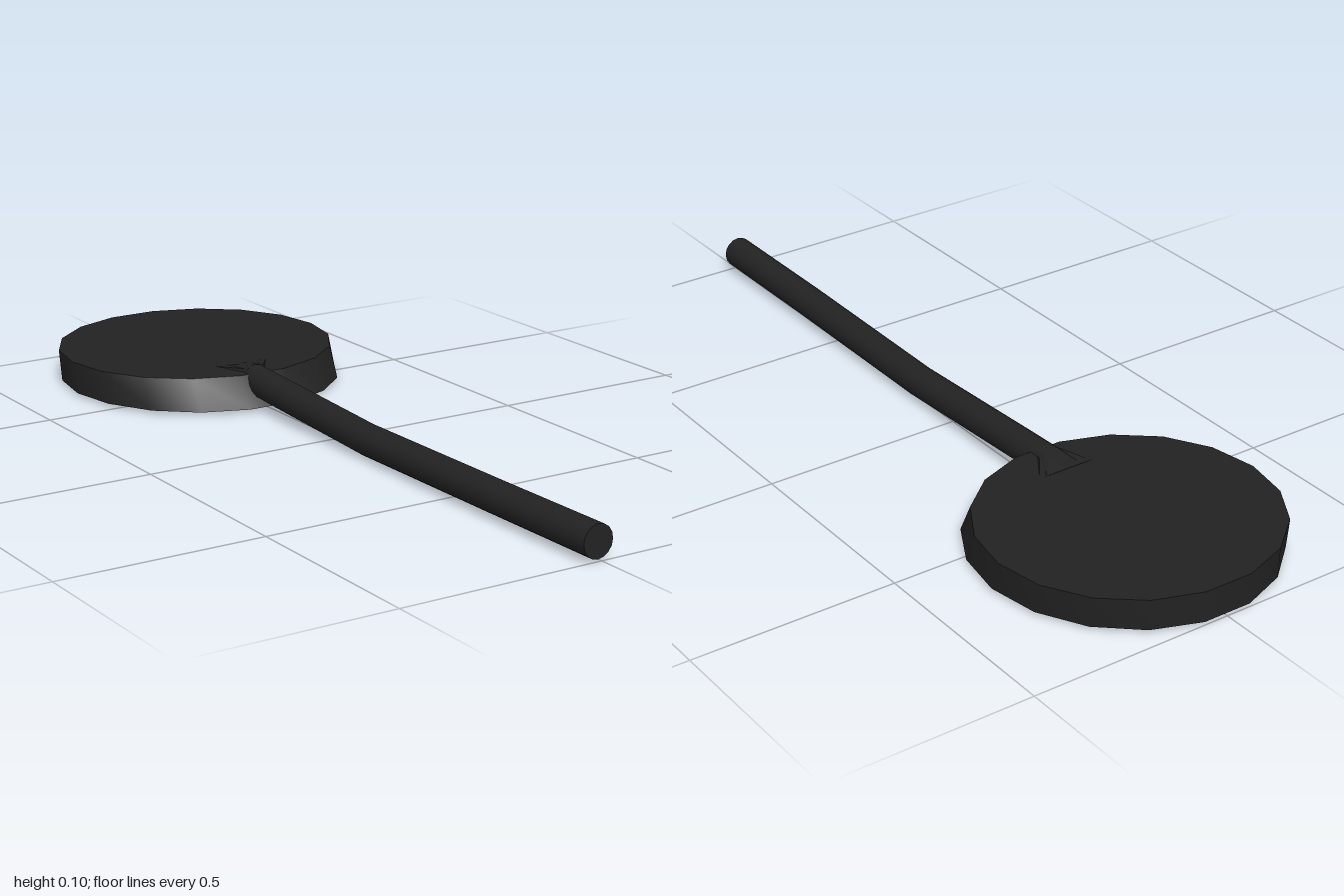
import * as THREE from 'three';
import { mergeVertices, toCreasedNormals } from 'three/addons/utils/BufferGeometryUtils.js';

const SIDES = 16;

// Skins elliptical rings [x, y, z, rx, ry] listed from front to back, with closed ends
function loft(sections) {
  const pos = [], idx = [];
  for (const [x, y, z, rx, ry] of sections) {
    for (let i = 0; i < SIDES; i++) {
      const a = (i / SIDES) * Math.PI * 2;
      pos.push(x + rx * Math.cos(a), y + ry * Math.sin(a), z);
    }
  }
  const last = (sections.length - 1) * SIDES;
  for (let s = 0; s < last; s += SIDES) {
    for (let i = 0; i < SIDES; i++) {
      const j = (i + 1) % SIDES;
      const a = s + i, b = s + j, c = a + SIDES, d = b + SIDES;
      idx.push(a, c, b, b, c, d);
    }
  }
  for (let i = 1; i < SIDES - 1; i++) {
    idx.push(0, i, i + 1, last, last + i + 1, last + i);
  }
  const geo = new THREE.BufferGeometry();
  geo.setAttribute('position', new THREE.Float32BufferAttribute(pos, 3));
  geo.setIndex(idx);
  return toCreasedNormals(geo, 0.6);
}

// Eighteen-sided disc with a stepped hollow underneath and a leaning front wall
function headGeometry() {
  const bottom = 0.008, top = 0.083;
  const profile = [
    [0, 0.06], [0.14, 0.056], [0.17, 0.042], [0.22, 0.038], [0.28, 0.03],
    [0.3, bottom], [0.35, bottom], [0.35, top], [0, top],
  ].map(([r, y]) => new THREE.Vector2(r, y));
  const geo = new THREE.LatheGeometry(profile, 18, Math.PI / 18);
  geo.deleteAttribute('normal');
  geo.deleteAttribute('uv');
  const p = geo.attributes.position;
  for (let i = 0; i < p.count; i++) {
    // the outline is longer at the base than at the top, flush at the back
    const t = (p.getY(i) - bottom) / (top - bottom);
    const centre = THREE.MathUtils.lerp(-0.645, -0.667, t);
    const stretch = THREE.MathUtils.lerp(1.03, 0.967, t);
    p.setZ(i, centre + p.getZ(i) * stretch);
  }
  return toCreasedNormals(mergeVertices(geo), 0.5);
}

export function createModel() {
  const group = new THREE.Group();
  const dark = new THREE.MeshStandardMaterial({ color: 0x222222 });
  const add = (name, geo) => {
    const mesh = new THREE.Mesh(geo, dark);
    mesh.name = name;
    group.add(mesh);
  };

  add('head', headGeometry());

  // Gently bent rod, rising onto the head
  add('handle', loft([
    [-0.01, 0.044, 1, 0.038, 0.039],
    [-0.012, 0.042, 0.65, 0.039, 0.038],
    [-0.01, 0.038, 0.15, 0.038, 0.038],
    [-0.01, 0.057, -0.25, 0.038, 0.038],
    [-0.01, 0.063, -0.36, 0.036, 0.038],
  ]));

  // Rod end flaring out flat into the top of the head
  add('handleFairing', loft([
    [-0.01, 0.063, -0.35, 0.036, 0.038],
    [-0.01, 0.063, -0.36, 0.036, 0.038],
    [-0.008, 0.082, -0.44, 0.088, 0.002],
  ]));

  return group;
}
